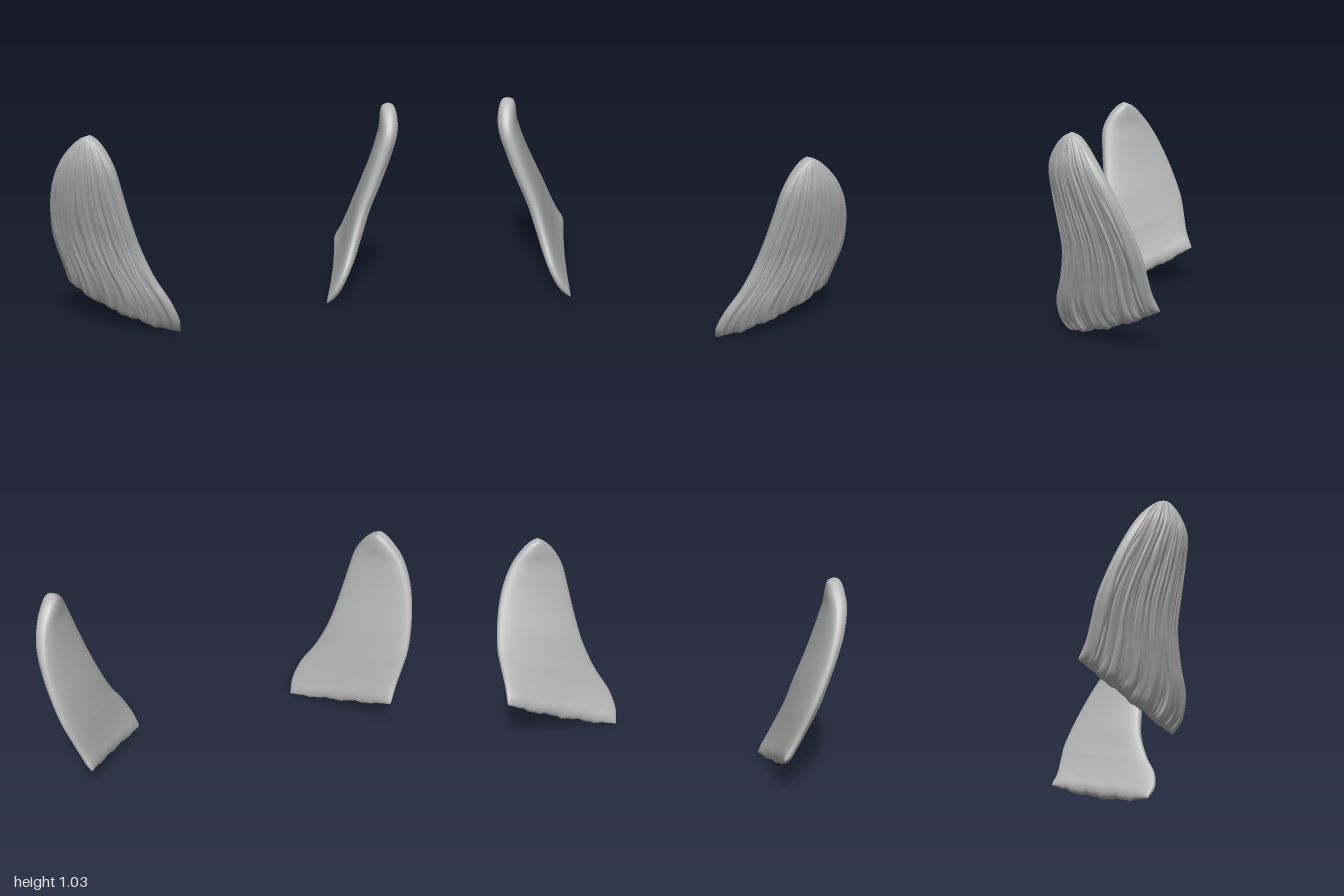
import * as THREE from 'three';

const ROWS = 110, OUTER = 180, INNER = 44, RING = OUTER + INNER;
const curve = (pts) => new THREE.CatmullRomCurve3(pts.map((p) => new THREE.Vector3(...p)));

// Rim of one horn plate, from the base up to the tip
const frontRim = curve([
  [0.442, 0, 0.218], [0.47, 0.07, 0.26], [0.52, 0.17, 0.27], [0.592, 0.3, 0.236],
  [0.655, 0.45, 0.214], [0.712, 0.6, 0.224], [0.762, 0.75, 0.238], [0.8, 0.87, 0.242],
  [0.826, 0.95, 0.21], [0.85, 1.0, 0.17], [0.872, 1.027, 0.13],
]);
const backRim = curve([
  [0.82, 0.195, -0.27], [0.855, 0.27, -0.238], [0.892, 0.36, -0.218], [0.93, 0.46, -0.197],
  [0.959, 0.57, -0.157], [0.98, 0.7, -0.1], [0.982, 0.81, -0.044], [0.963, 0.9, 0.008],
  [0.928, 0.965, 0.052], [0.896, 1.008, 0.092], [0.872, 1.027, 0.13],
]);

// Seeded random numbers for the grooves
let seed = 7;
const rand = () => {
  seed = (seed * 16807) % 2147483647;
  return seed / 2147483647;
};
const grooves = Array.from({ length: 26 }, (_, i) => ({
  s: 0.05 + (0.9 * (i + 0.7 * rand())) / 26,
  depth: 0.004 + 0.008 * rand(),
  freq: 7 + 14 * rand(),
  phase: 6.28 * rand(),
}));

// Height of the grooved outer face at s (front to back) and v (base to tip)
function relief(s, v) {
  let h = 0.003 * Math.sin(s * 34 + 2 * Math.sin(v * 4)) + 0.002 * Math.sin(s * 71 - v * 5);
  for (const g of grooves) {
    const x = (s - g.s - 0.006 * Math.sin(v * g.freq + g.phase)) / 0.014;
    const along = Math.min(1, Math.max(0, 0.6 + 0.9 * Math.sin(v * g.freq + 2 * g.phase)));
    h -= g.depth * along * (x > 0 ? Math.exp(-x) : Math.exp(-9 * x * x));
  }
  return h;
}

// Direction out of the grooved face
function faceNormal(v) {
  const w = Math.min(0.82, Math.max(0.03, v));
  const mid = (t) => frontRim.getPoint(t).add(backRim.getPoint(t));
  const across = backRim.getPoint(w).sub(frontRim.getPoint(w));
  return across.cross(mid(w + 0.03).sub(mid(w - 0.03))).normalize();
}

function hornGeometry(side) {
  const pos = [], index = [];
  for (let i = 0; i <= ROWS; i++) {
    // Rows crowd together at both ends to round them off
    const v = (1 - Math.cos((Math.PI * i) / ROWS)) / 2;
    const f = frontRim.getPoint(v), b = backRim.getPoint(v), n = faceNormal(v);
    const width = Math.min(1, f.distanceTo(b) / 0.45);
    const baseRound = Math.sqrt(1 - Math.max(0, 1 - v / 0.06) ** 2);
    const tipRound = Math.sqrt(Math.max(0, 1 - Math.max(0, (v - 0.62) / 0.38) ** 2));
    const half = (0.034 + 0.018 * Math.min(1, v * 1.6)) * baseRound * tipRound;
    // The base bows outward, the upper part is nearly flat
    const camber = (0.009 - 0.012 * v + 0.02 * Math.max(0, 1 - v / 0.25)) * tipRound;
    for (let j = 0; j < RING; j++) {
      const outer = j <= OUTER;
      const a = Math.PI * (outer ? j / OUTER : 1 - (j - OUTER) / INNER);
      const s = (1 - Math.cos(a)) / 2, round = Math.sin(a) ** 0.7;
      let off = camber * 4 * s * (1 - s) + (outer ? half : -half) * round;
      if (outer) off += relief(s, v) * width * baseRound * tipRound * Math.min(1, round * 2);
      const p = f.clone().lerp(b, s).addScaledVector(n, off);
      // Ragged, slightly sagging base edge
      p.y += Math.max(0, 1 - v / 0.12) * Math.sin(a) *
        (-0.01 + 0.005 * Math.sin(s * 23) + 0.003 * Math.sin(s * 61));
      pos.push(p.x * side, Math.max(0, p.y), p.z);
    }
  }
  for (let i = 0; i < ROWS; i++) {
    for (let j = 0; j < RING; j++) {
      const k = (j + 1) % RING;
      const q = [i * RING + j, i * RING + k, (i + 1) * RING + k, (i + 1) * RING + j];
      if (side < 0) q.reverse();
      index.push(q[0], q[1], q[2], q[0], q[2], q[3]);
    }
  }
  const geo = new THREE.BufferGeometry();
  geo.setAttribute('position', new THREE.Float32BufferAttribute(pos, 3));
  geo.setIndex(index);
  geo.computeVertexNormals();
  return geo;
}

export function createModel() {
  const group = new THREE.Group();
  group.name = 'hornPlates';
  const gray = new THREE.MeshStandardMaterial({ color: 0xb4b4b4 });
  gray.name = 'horn gray';
  // Mirrored pair
  for (const [name, side] of [['leftHorn', 1], ['rightHorn', -1]]) {
    const horn = new THREE.Mesh(hornGeometry(side), gray);
    horn.name = name;
    group.add(horn);
  }
  return group;
}
